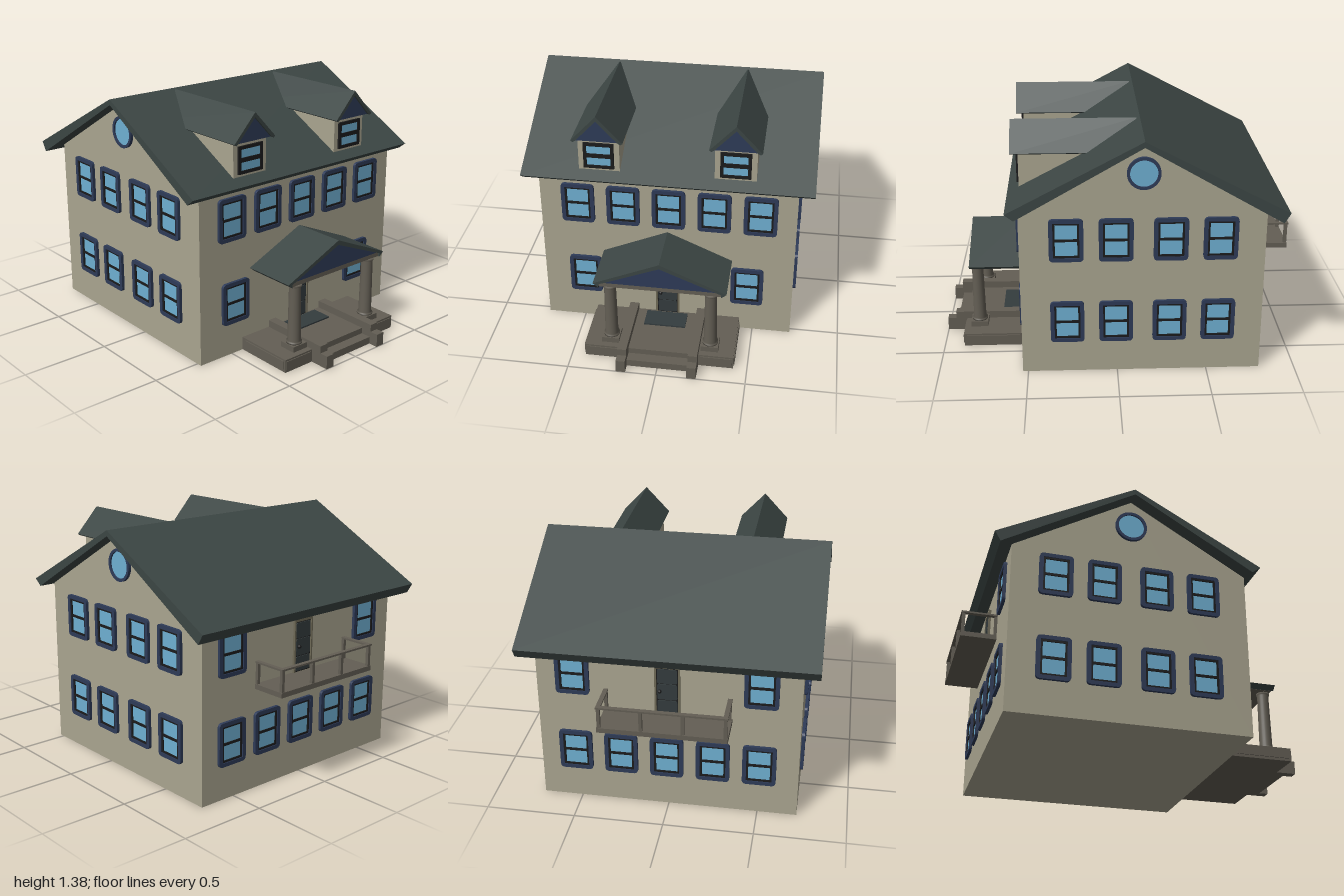
import * as THREE from 'three';

const mat = (name, color) => new THREE.MeshStandardMaterial({ name, color });

export function createModel() {
  const wall = mat('wallBeige', 0xaaa590);
  const roofing = mat('roofSlate', 0x3c4644);
  const navy = mat('trimNavy', 0x2e3b58);
  const glass = mat('windowGlass', 0x6fb0d2);
  const sash = mat('sashBlack', 0x1b1b1c);
  const stone = mat('stoneGrey', 0x635e54);
  const doorPaint = mat('doorDark', 0x343c3e);
  const doorTrim = mat('doorTrim', 0x6f6a57);

  const house = new THREE.Group();
  house.name = 'house';

  const mesh = (parent, name, geo, material, x = 0, y = 0, z = 0) => {
    const m = new THREE.Mesh(geo, material);
    m.name = name;
    m.position.set(x, y, z);
    parent.add(m);
    return m;
  };
  // Box given by its extents on each axis
  const box = (parent, name, material, x0, x1, y0, y1, z0, z1) =>
    mesh(parent, name, new THREE.BoxGeometry(x1 - x0, y1 - y0, z1 - z0), material,
      (x0 + x1) / 2, (y0 + y1) / 2, (z0 + z1) / 2);
  const poly = pts => new THREE.Shape(pts.map(p => new THREE.Vector2(...p)));
  const extrude = (shape, depth) =>
    new THREE.ExtrudeGeometry(shape, { depth, bevelEnabled: false, curveSegments: 6 });
  // Extrude a (z, y) profile along x, centred
  const extrudeX = (pts, width) =>
    extrude(poly(pts), width).translate(0, 0, -width / 2).rotateY(-Math.PI / 2);
  const rect = (w, h, cy = 0) =>
    poly([[-w / 2, cy - h / 2], [w / 2, cy - h / 2], [w / 2, cy + h / 2], [-w / 2, cy + h / 2]]);
  const roundRect = (w, h, r) => {
    const s = new THREE.Shape(), a = w / 2, b = h / 2;
    s.moveTo(-a + r, -b);
    s.lineTo(a - r, -b).quadraticCurveTo(a, -b, a, -b + r);
    s.lineTo(a, b - r).quadraticCurveTo(a, b, a - r, b);
    s.lineTo(-a + r, b).quadraticCurveTo(-a, b, -a, b - r);
    s.lineTo(-a, -b + r).quadraticCurveTo(-a, -b, -a + r, -b);
    return s;
  };

  // Walls with the two gable ends
  mesh(house, 'walls', extrudeX(
    [[0.53, 0], [0.53, 0.966], [-0.135, 1.352], [-0.8, 0.966], [-0.8, 0]], 1.44), wall);

  // Main roof
  mesh(house, 'mainRoof', extrudeX(
    [[0.595, 0.99], [-0.135, 1.378], [-0.906, 0.974], [-0.873, 0.918],
      [-0.135, 1.346], [0.547, 0.953]], 1.614), roofing);

  // Sash: black frame with two openings over a glass plate
  const addSash = (g, w, h, bar, edge) => {
    const frame = rect(w, h), ph = (h - 2 * edge - bar) / 2;
    for (const s of [-1, 1]) frame.holes.push(rect(w - 2 * edge, ph, s * (ph + bar) / 2));
    mesh(g, 'sash', extrude(frame, 0.012), sash);
    box(g, 'glass', glass, -w / 2 + 0.002, w / 2 - 0.002, -h / 2 + 0.002, h / 2 - 0.002, 0, 0.006);
  };
  // Window facing +z, turned and set on a wall
  const addWindow = (x, y, z, turn) => {
    const g = new THREE.Group();
    g.name = 'window';
    const trim = roundRect(0.186, 0.246, 0.025);
    trim.holes.push(rect(0.142, 0.202));
    mesh(g, 'windowTrim', extrude(trim, 0.017), navy);
    addSash(g, 0.142, 0.202, 0.014, 0.011);
    g.position.set(x, y, z);
    g.rotation.y = turn;
    house.add(g);
  };
  const UPPER = 0.804, LOWER = 0.315;
  const rowX = [-0.504, -0.248, 0.008, 0.264, 0.52];
  rowX.forEach((x, i) => {
    addWindow(x, UPPER, 0.53, 0);
    addWindow(x, LOWER, -0.8, Math.PI);
    if (i === 0 || i === 4) addWindow(x, UPPER, -0.8, Math.PI);
  });
  for (const x of [-0.479, 0.459]) addWindow(x, LOWER, 0.53, 0);

  for (const s of [-1, 1]) {
    for (const z of [0.276, 0.008, -0.287, -0.555])
      for (const y of [UPPER, LOWER]) addWindow(s * 0.72, y, z, s * Math.PI / 2);

    // Round gable window
    const g = new THREE.Group();
    g.name = 'roundWindow';
    const ring = new THREE.Shape().absarc(0, 0, 0.09, 0, Math.PI * 2);
    ring.holes.push(new THREE.Path().absarc(0, 0, 0.074, 0, Math.PI * 2));
    mesh(g, 'roundTrim', new THREE.ExtrudeGeometry(ring,
      { depth: 0.017, bevelEnabled: false, curveSegments: 24 }), navy);
    mesh(g, 'roundGlass', new THREE.CylinderGeometry(0.076, 0.076, 0.008, 32)
      .rotateX(Math.PI / 2), glass, 0, 0, 0.004);
    g.position.set(s * 0.72, 1.18, -0.137);
    g.rotation.y = s * Math.PI / 2;
    house.add(g);

    // Dormer
    const d = new THREE.Group();
    d.name = 'dormer';
    d.position.x = s * 0.374;
    box(d, 'dormerWalls', wall, -0.114, 0.114, 1.0, 1.222, 0.1, 0.53);
    mesh(d, 'dormerGable', extrude(poly([[-0.122, 1.218], [0.122, 1.218], [0, 1.35]]), 0.46),
      navy, 0, 0, 0.1);
    mesh(d, 'dormerRoof', extrude(poly([[-0.142, 1.222], [-0.13, 1.214], [-0.116, 1.222], [0, 1.347],
      [0.116, 1.222], [0.13, 1.214], [0.142, 1.222], [0, 1.374]]), 0.69), roofing, 0, 0, -0.117);
    const win = new THREE.Group();
    win.name = 'dormerWindow';
    win.position.set(0, 1.117, 0.53);
    addSash(win, 0.168, 0.154, 0.024, 0.018);
    d.add(win);
    house.add(d);
  }

  // Panelled door, with its sill at the group's origin
  const addDoor = (y, z, turn) => {
    const g = new THREE.Group();
    g.name = 'door';
    const surround = rect(0.138, 0.3, 0.15);
    surround.holes.push(rect(0.118, 0.285, 0.1425));
    mesh(g, 'doorSurround', extrude(surround, 0.014), doorTrim);
    box(g, 'doorLeaf', sash, -0.059, 0.059, 0, 0.285, 0, 0.006);
    for (const [cy, h] of [[0.235, 0.086], [0.14, 0.094], [0.047, 0.08]])
      mesh(g, 'doorPanel', extrude(roundRect(0.108, h, 0.012), 0.011), doorPaint, 0, cy, 0);
    mesh(g, 'doorKnob', new THREE.SphereGeometry(0.011, 12, 8), sash, -0.04, 0.147, 0.02);
    g.position.set(0, y, z);
    g.rotation.y = turn;
    house.add(g);
  };
  addDoor(0.076, 0.53, 0);
  addDoor(0.596, -0.8, Math.PI);

  // Porch floor, step and door mat
  box(house, 'porchFloor', stone, -0.422, 0.422, 0, 0.076, 0.53, 0.885);
  box(house, 'porchStep', stone, -0.175, 0.175, 0, 0.042, 0.88, 0.945);
  box(house, 'doorMat', doorPaint, -0.12, 0.12, 0.076, 0.085, 0.55, 0.67);

  for (const s of [-1, 1]) {
    // Raised panels on the porch base
    box(house, 'porchFrontPanel', stone, s * 0.325 - 0.09, s * 0.325 + 0.09, 0.015, 0.066, 0.88, 0.89);
    box(house, 'porchSidePanel', stone, s * 0.42 - 0.008, s * 0.42 + 0.008, 0.015, 0.066, 0.56, 0.87);
    // Stepped cheek wall beside the steps
    const cheek = mesh(house, 'cheekWall', extrudeX(
      [[0.53, 0], [0.53, 0.118], [0.95, 0.118], [0.95, 0.076], [1, 0.076], [1, 0]], 0.052), stone);
    cheek.position.x = s * 0.199;
    // Column with plinth and turned shaft
    const x = s * 0.282;
    box(house, 'columnPlinth', stone, x - 0.05, x + 0.05, 0.076, 0.108, 0.75, 0.85);
    mesh(house, 'column', new THREE.LatheGeometry([[0, 0.108], [0.045, 0.108], [0.045, 0.118],
      [0.037, 0.122], [0.033, 0.442], [0.038, 0.445], [0.038, 0.458], [0, 0.458]]
      .map(p => new THREE.Vector2(...p)), 24), stone, x, 0, 0.8).material.flatShading = false;
  }

  // Porch roof
  box(house, 'porchBeam', stone, -0.34, 0.34, 0.457, 0.482, 0.53, 0.83);
  mesh(house, 'porchGable', extrude(poly([[-0.345, 0.48], [0.345, 0.48], [0, 0.622]]), 0.3),
    navy, 0, 0, 0.53);
  mesh(house, 'porchRoof', extrude(poly([[-0.37, 0.483], [-0.34, 0.458], [-0.34, 0.478], [0, 0.618],
    [0.34, 0.478], [0.34, 0.458], [0.37, 0.483], [0, 0.645]]), 0.312), roofing, 0, 0, 0.53);

  // Rear balcony
  box(house, 'balconyFloor', stone, -0.35, 0.35, 0.568, 0.596, -0.998, -0.8);
  box(house, 'balconyBackRail', stone, -0.35, 0.35, 0.712, 0.722, -1, -0.975);
  for (const s of [-1, 1])
    box(house, 'balconySideRail', stone, s * 0.3375 - 0.0125, s * 0.3375 + 0.0125,
      0.712, 0.722, -0.975, -0.8);
  for (const x of [-0.337, -0.112, 0.112, 0.337])
    box(house, 'balconyPost', stone, x - 0.009, x + 0.009, 0.596, 0.712, -0.996, -0.978);
  for (const x of [-0.337, 0.337])
    box(house, 'balconyWallPost', stone, x - 0.009, x + 0.009, 0.596, 0.712, -0.816, -0.8);

  return house;
}
